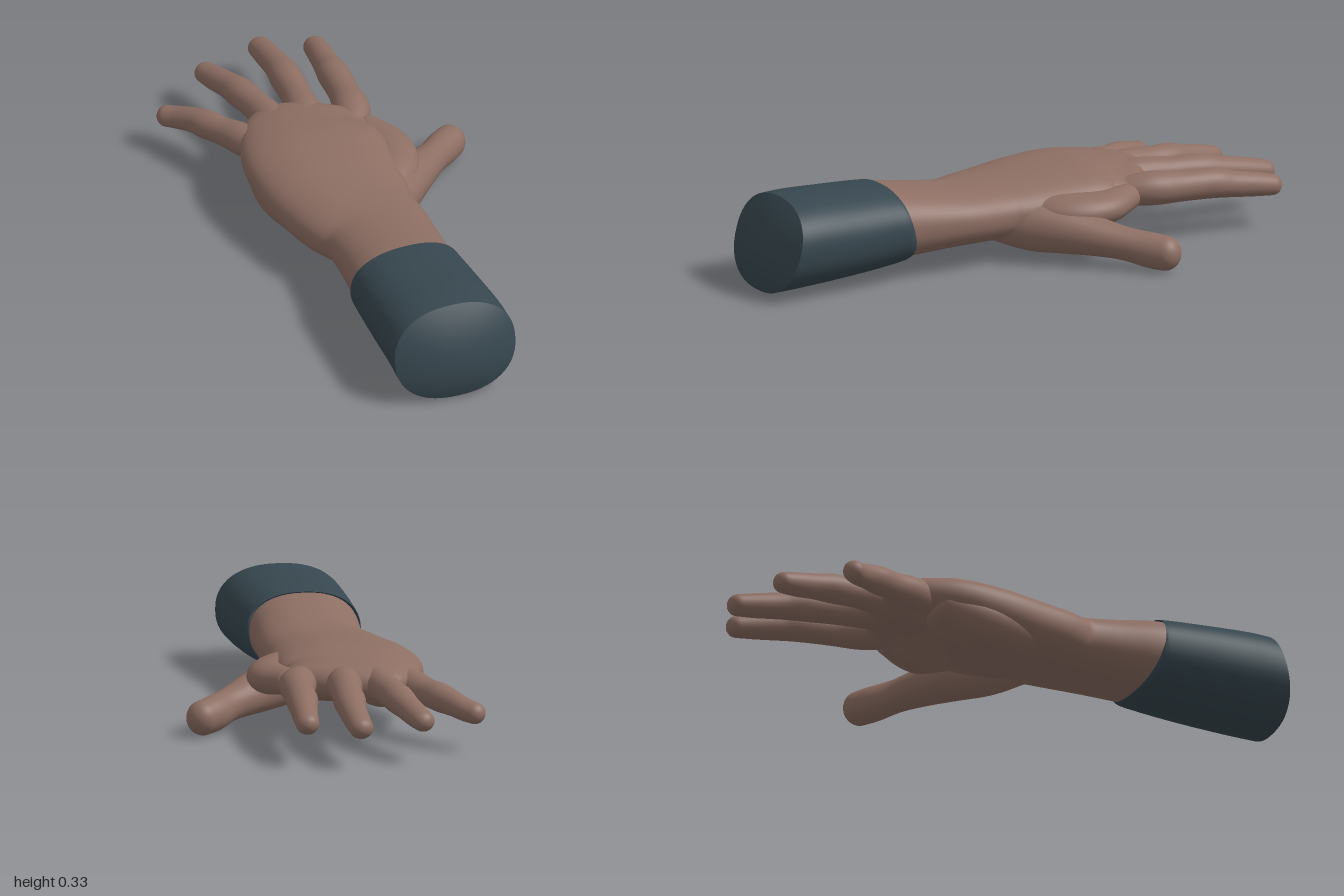
import * as THREE from 'three';
import { toCreasedNormals } from 'three/addons/utils/BufferGeometryUtils.js';

const skin = new THREE.MeshStandardMaterial({ color: 0x8d6e63 });
skin.name = 'skin';
const cloth = new THREE.MeshStandardMaterial({ color: 0x37474f });
cloth.name = 'sleeveCloth';

// Smooth tube through sections [x, y, z, halfWidth, halfHeight, pitch].
// start and end are dome heights, 0 leaves that end open (buried in another part).
// power squares off the cross-section; domePower 1 is round, 2 is a shallow lens.
function loft(sections, { start = 0, end = 0, power = 2, domePower = 1, sides = 40, steps = 6 } = {}) {
  const path = new THREE.CatmullRomCurve3(sections.map(s => new THREE.Vector3(s[0], s[1], s[2])));
  const sizes = new THREE.CatmullRomCurve3(
    sections.map(s => new THREE.Vector3(s[3], s[4], s[5] || 0)), false, 'catmullrom', 0.5);
  const positions = [], indices = [];
  const up = new THREE.Vector3(0, 1, 0);
  let rings = 0;

  function addRing(t, scale, offset) {
    const T = path.getTangent(t);
    const S = new THREE.Vector3().crossVectors(T, up).normalize();
    const U = new THREE.Vector3().crossVectors(S, T);
    const c = path.getPoint(t).addScaledVector(T, offset);
    const size = sizes.getPoint(t);
    for (let j = 0; j < sides; j++) {
      const a = (j / sides) * Math.PI * 2;
      const round = v => Math.sign(v) * Math.abs(v) ** (2 / power);
      const h = size.y * scale * round(Math.sin(a));
      const p = c.clone().addScaledVector(S, size.x * scale * round(Math.cos(a))).addScaledVector(U, h);
      positions.push(p.x, p.y, p.z + size.z * h);
    }
    rings++;
  }

  const domeSteps = 8, n = (sections.length - 1) * steps;
  const dome = (k, height, t, sign) => {
    const a = (k / domeSteps) * Math.PI / 2;
    addRing(t, Math.max(Math.cos(a), 0.002), sign * height * Math.sin(a) ** domePower);
  };
  if (start) for (let k = domeSteps; k > 0; k--) dome(k, start, 0, -1);
  for (let i = 0; i <= n; i++) addRing(i / n, 1, 0);
  if (end) for (let k = 1; k <= domeSteps; k++) dome(k, end, 1, 1);

  for (let i = 0; i < rings - 1; i++) {
    for (let j = 0; j < sides; j++) {
      const a = i * sides + j, b = i * sides + (j + 1) % sides;
      indices.push(a, a + sides, b, b, a + sides, b + sides);
    }
  }
  const geometry = new THREE.BufferGeometry();
  geometry.setAttribute('position', new THREE.Float32BufferAttribute(positions, 3));
  geometry.setIndex(indices);
  geometry.computeVertexNormals();
  return geometry;
}

export function createModel() {
  const model = new THREE.Group();
  model.name = 'armAndHand';
  const add = (name, geometry, material) => {
    const mesh = new THREE.Mesh(geometry, material);
    mesh.name = name;
    model.add(mesh);
  };

  // Wrist flowing into the back of the hand
  add('wristAndPalm', loft([
    [0.081, 0.179, 0.54, 0.188, 0.127],
    [0.074, 0.178, 0.49, 0.188, 0.125],
    [0.062, 0.172, 0.35, 0.185, 0.110],
    [0.046, 0.167, 0.22, 0.190, 0.100],
    [0.005, 0.162, 0.10, 0.215, 0.103],
    [-0.017, 0.162, 0.00, 0.234, 0.108],
    [-0.040, 0.171, -0.12, 0.249, 0.107],
    [-0.054, 0.185, -0.25, 0.251, 0.095],
    [-0.046, 0.190, -0.36, 0.230, 0.075],
    [-0.018, 0.190, -0.44, 0.196, 0.058],
  ], { end: 0.065, power: 2.3, sides: 56 }), skin);

  // Fleshy heel on the little finger side
  add('palmHeel', loft([
    [-0.07, 0.145, 0.13, 0.060, 0.060],
    [-0.140, 0.126, -0.02, 0.095, 0.076],
    [-0.178, 0.132, -0.15, 0.108, 0.086],
    [-0.200, 0.155, -0.28, 0.090, 0.068],
  ], { end: 0.06 }), skin);

  // Fold of skin between thumb and index finger
  add('thumbWeb', loft([
    [0.11, 0.160, 0.00, 0.060, 0.060],
    [0.185, 0.160, -0.13, 0.090, 0.066],
    [0.205, 0.168, -0.25, 0.082, 0.056],
    [0.155, 0.180, -0.37, 0.050, 0.044],
  ], { end: 0.03 }), skin);

  // Thumb with its thick base
  add('thumb', loft([
    [0.09, 0.148, 0.13, 0.060, 0.065],
    [0.155, 0.123, -0.01, 0.080, 0.087],
    [0.228, 0.110, -0.12, 0.080, 0.079],
    [0.30, 0.095, -0.21, 0.068, 0.065],
    [0.36, 0.081, -0.28, 0.056, 0.057],
    [0.41, 0.066, -0.345, 0.058, 0.061],
    [0.446, 0.060, -0.385, 0.056, 0.060],
  ], { end: 0.055 }), skin);

  // Four fingers, rising out of the palm and swelling at each joint
  const fingers = {
    indexFinger: [
      [0.105, 0.184, -0.36, 0.048, 0.048], [0.128, 0.190, -0.47, 0.064, 0.058],
      [0.128, 0.184, -0.58, 0.053, 0.052], [0.120, 0.179, -0.70, 0.054, 0.052],
      [0.118, 0.168, -0.76, 0.048, 0.046], [0.114, 0.155, -0.85, 0.043, 0.042],
      [0.110, 0.145, -0.915, 0.040, 0.037]],
    middleFinger: [
      [-0.025, 0.190, -0.40, 0.052, 0.050], [-0.030, 0.192, -0.48, 0.062, 0.058],
      [-0.033, 0.186, -0.60, 0.052, 0.052], [-0.040, 0.180, -0.72, 0.055, 0.052],
      [-0.046, 0.168, -0.80, 0.048, 0.046], [-0.060, 0.150, -0.90, 0.044, 0.042],
      [-0.070, 0.139, -0.963, 0.041, 0.037]],
    ringFinger: [
      [-0.130, 0.188, -0.39, 0.050, 0.050], [-0.147, 0.190, -0.47, 0.058, 0.056],
      [-0.180, 0.184, -0.58, 0.050, 0.050], [-0.208, 0.177, -0.67, 0.053, 0.050],
      [-0.233, 0.165, -0.74, 0.046, 0.044], [-0.262, 0.150, -0.81, 0.043, 0.041],
      [-0.283, 0.141, -0.862, 0.039, 0.036]],
    littleFinger: [
      [-0.205, 0.178, -0.32, 0.050, 0.050], [-0.260, 0.172, -0.41, 0.057, 0.055],
      [-0.312, 0.163, -0.485, 0.048, 0.048], [-0.357, 0.156, -0.55, 0.049, 0.049],
      [-0.395, 0.147, -0.60, 0.042, 0.043], [-0.437, 0.133, -0.645, 0.039, 0.039],
      [-0.465, 0.127, -0.668, 0.037, 0.037]],
  };
  for (const [name, sections] of Object.entries(fingers)) {
    add(name, loft(sections, { end: 0.035, sides: 32 }), skin);
  }

  // Sleeve with a slanted, domed end, turned in at the cuff to meet the wrist
  add('sleeve', toCreasedNormals(loft([
    [0.143, 0.169, 0.942, 0.217, 0.160, -0.30],
    [0.132, 0.173, 0.85, 0.216, 0.158, -0.12],
    [0.108, 0.174, 0.70, 0.211, 0.150, 0],
    [0.085, 0.175, 0.56, 0.203, 0.141, 0],
    [0.075, 0.176, 0.495, 0.198, 0.133, 0],
    [0.074, 0.177, 0.490, 0.184, 0.122, 0],
  ], { start: 0.045, power: 2.3, domePower: 2, sides: 56 }), 0.7), cloth);

  return model;
}
